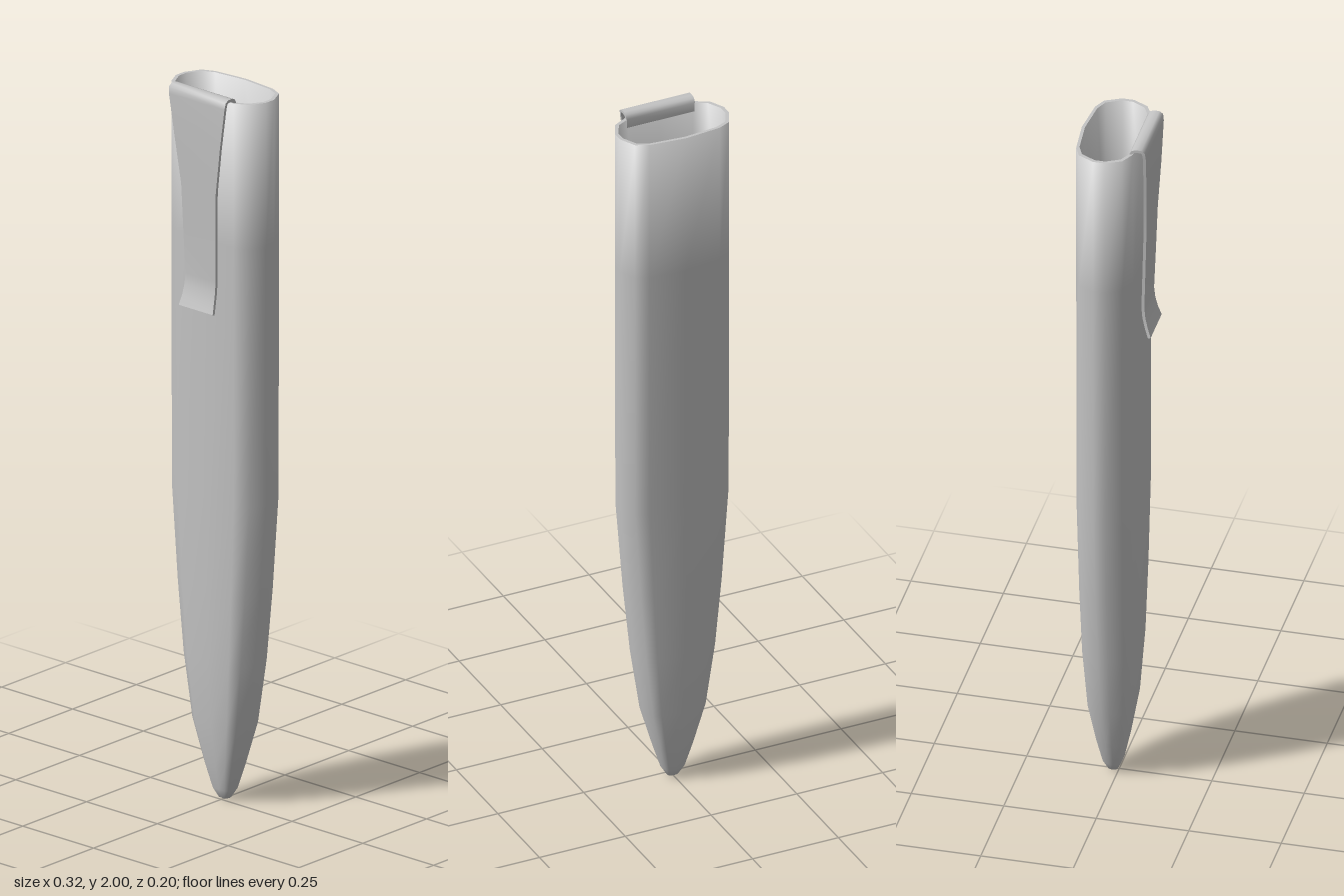
import * as THREE from 'three';

// Skin a list of point rows; rows run upward, each row counter-clockwise seen from above
function loft(rows, closed, flip = false) {
  const n = rows[0].length, idx = [];
  for (let i = 0; i < rows.length - 1; i++) {
    for (let j = 0; j < (closed ? n : n - 1); j++) {
      const k = (j + 1) % n;
      const a = i * n + j, b = i * n + k, c = a + n, d = b + n;
      if (flip) idx.push(a, d, b, a, c, d);
      else idx.push(a, b, d, a, d, c);
    }
  }
  const g = new THREE.BufferGeometry();
  g.setAttribute('position', new THREE.Float32BufferAttribute(rows.flat(2), 3));
  g.setIndex(idx);
  g.computeVertexNormals();
  return g;
}

// Lean the normals of the top ring upward so the wall rounds softly into the rim
function softenTop(g, n) {
  const nor = g.attributes.normal, v = new THREE.Vector3();
  for (let i = nor.count - n; i < nor.count; i++) {
    v.fromBufferAttribute(nor, i);
    v.y += 0.8;
    v.normalize();
    nor.setXYZ(i, v.x, v.y, v.z);
  }
  return g;
}

// Right half of the flattened section, front to back, relative to z = CZ
const CZ = -0.015;
const half = [[0, 0.077], [0.1, 0.077], [0.138, 0.057], [0.159, 0.016],
  [0.159, -0.016], [0.137, -0.06], [0.102, -0.076], [0, -0.086]];
const section = [...half, ...half.slice(1, -1).reverse().map(([x, z]) => [-x, z])];
const ring = (y, sx, sz) => section.map(([x, z]) => [x * sx, y, CZ + z * sz]);

// Height, width scale, depth scale
const stations = [[0, 0, 0], [0.004, 0.1, 0.16], [0.03, 0.2, 0.32], [0.1, 0.34, 0.5],
  [0.22, 0.56, 0.74], [0.4, 0.73, 0.88], [0.6, 0.86, 0.94], [0.86, 0.99, 0.985],
  [1.58, 1, 1], [1.985, 1, 1]];

// Clip centre line from inside the rim, over the top and down: z, y, half width
const clipPath = [[0.056, 1.96, 0.1], [0.056, 1.985, 0.1], [0.061, 1.993, 0.1],
  [0.07, 1.996, 0.1], [0.083, 1.996, 0.1], [0.09, 1.991, 0.1], [0.092, 1.975, 0.098],
  [0.09, 1.86, 0.08], [0.085, 1.73, 0.061], [0.081, 1.6, 0.057], [0.077, 1.48, 0.053],
  [0.08, 1.45, 0.054], [0.087, 1.42, 0.056], [0.096, 1.393, 0.06]];

export function createModel() {
  const model = new THREE.Group();
  const grey = new THREE.MeshStandardMaterial({ color: 0xc4c4c4, side: THREE.DoubleSide });
  grey.name = 'lightGrey';
  const add = (name, geo, parent = model) => {
    const m = new THREE.Mesh(geo, grey);
    m.name = name;
    parent.add(m);
  };

  // Hollow body: outer skin, inner skin and the rim between them
  const n = section.length;
  const outer = stations.map(s => ring(...s));
  const inner = stations.map(([y, sx, sz], i) => ring(
    i === stations.length - 1 ? y : y + 0.02 * (1 - y / 2),
    Math.max(0, sx - 0.06), Math.max(0, sz - 0.1)));
  add('sheathOuter', softenTop(loft(outer, true), n));
  add('sheathInner', softenTop(loft(inner, true, true), n));
  add('sheathRim', loft([outer.at(-1), inner.at(-1)], true));

  // Bent pocket clip of constant thickness
  const clip = new THREE.Group();
  clip.name = 'pocketClip';
  model.add(clip);
  const t = 0.004;
  const sides = clipPath.map(([z, y, w], i) => {
    const p = clipPath[Math.max(0, i - 1)], q = clipPath[Math.min(clipPath.length - 1, i + 1)];
    const len = Math.hypot(q[0] - p[0], q[1] - p[1]);
    const nz = -(q[1] - p[1]) / len * t, ny = (q[0] - p[0]) / len * t;
    return {
      out: [[-w, y + ny, z + nz], [w, y + ny, z + nz]],
      in: [[-w, y - ny, z - nz], [w, y - ny, z - nz]],
    };
  });
  add('clipOuterFace', loft(sides.map(s => s.out), false, true), clip);
  add('clipInnerFace', loft(sides.map(s => s.in), false), clip);
  [0, 1].forEach(e => add(e ? 'clipLeftEdge' : 'clipRightEdge',
    loft(sides.map(s => [s.out[e], s.in[e]]), false, e === 1), clip));
  [sides[0], sides.at(-1)].forEach((s, i) => add(i ? 'clipTip' : 'clipRoot',
    loft([s.in, s.out], false, i === 0), clip));
  return model;
}
